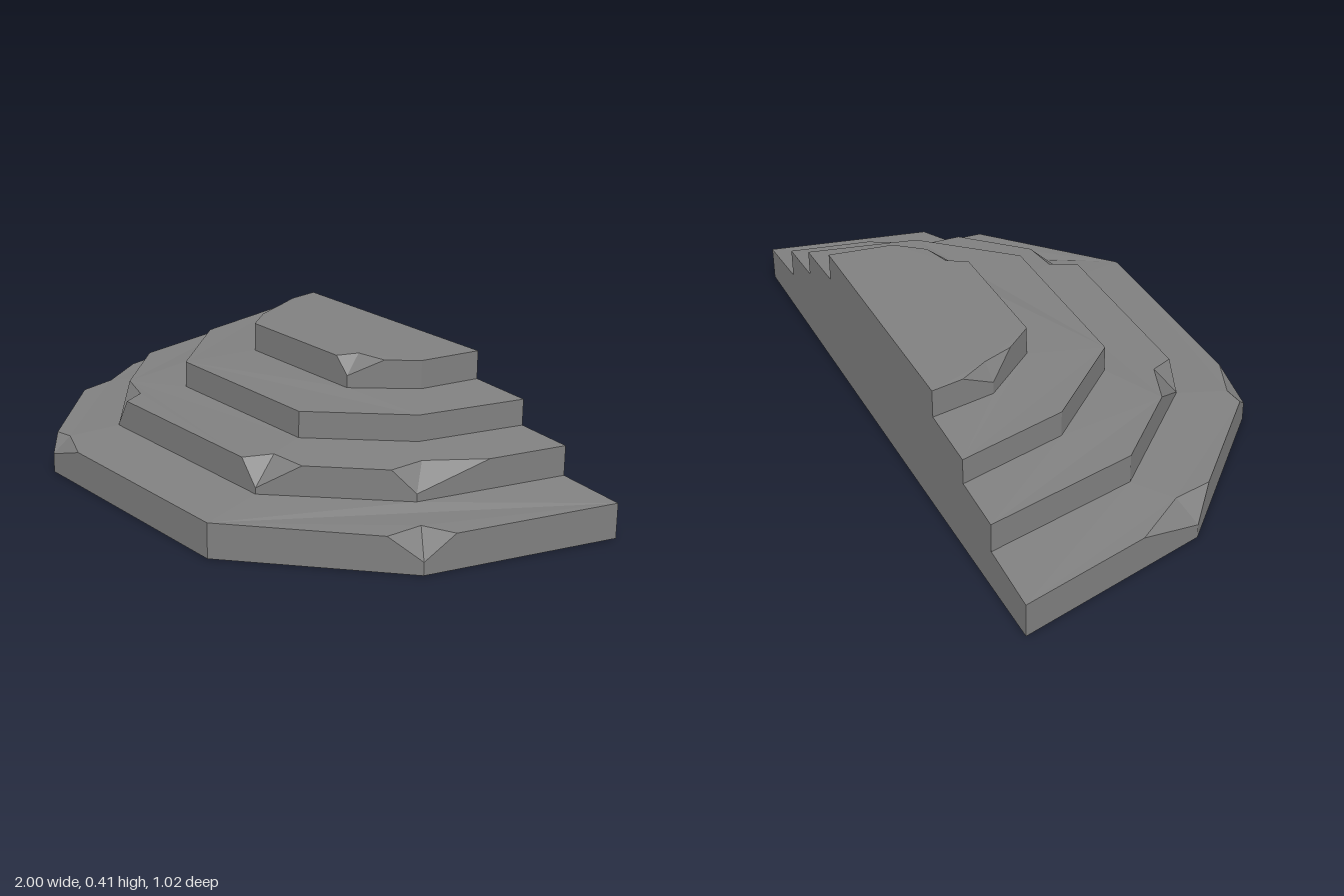
import * as THREE from 'three';

const BACK = -0.51;

// Each step: outline corners [x, z] from the right end round the front to the left end,
// base and rim heights, and chipped corners (a, b = cut length along the edges before and after).
const STEPS = [
  {
    name: 'bottomStep', base: 0, rim: 0.109,
    outline: [[-1, BACK], [-0.845, 0.1], [-0.415, 0.508], [0.415, 0.508], [0.862, 0.1], [1, BACK]],
    chips: {
      1: { a: 0.33, b: 0.2, low: 0.045, inner: [-0.785, 0.06] },
      2: { a: 0.11, b: 0.18, low: 0.06, inner: [-0.4, 0.455] },
      4: { a: 0.17, b: 0.16, low: 0.04, inner: [0.79, 0.05] },
    },
  },
  {
    name: 'secondStep', base: 0.126, rim: 0.219,
    outline: [[-0.785, BACK], [-0.68, -0.03], [-0.36, 0.3], [0.36, 0.3], [0.68, -0.03], [0.785, BACK]],
    chips: {
      2: { a: 0.35, b: 0.07, low: 0.13, inner: [-0.34, 0.23] },
      3: { a: 0.09, b: 0.29, low: 0.145, inner: [0.335, 0.215] },
      4: { a: 0.16, b: 0.48, low: 0.15, inner: [0.63, -0.09] },
    },
  },
  {
    name: 'thirdStep', base: 0.23, rim: 0.312,
    outline: [[-0.605, BACK], [-0.525, -0.17], [-0.29, 0.09], [0.29, 0.09], [0.525, -0.17], [0.605, BACK]],
    chips: {},
  },
  {
    name: 'topStep', base: 0.322, rim: 0.411,
    outline: [[-0.403, BACK], [-0.373, -0.31], [-0.232, -0.138], [0.232, -0.138], [0.373, -0.31], [0.403, BACK]],
    chips: {
      1: { a: 0.5, b: 0.5, low: 0.36, inner: [-0.34, -0.32] },
      3: { a: 0.11, b: 0.5, low: 0.36, inner: [0.21, -0.2] },
    },
  },
];

const at = ([x, z], y) => new THREE.Vector3(x, y, z);

// Fan of triangles over a convex face
function fan(out, pts) {
  for (let i = 1; i < pts.length - 1; i++) out.push(pts[0], pts[i], pts[i + 1]);
}

// Triangulate any face, turned to look along the given direction
function fill(out, pts, facing) {
  const flat = pts.map((p) => (facing.y !== 0 ? new THREE.Vector2(p.x, -p.z) : new THREE.Vector2(p.x, p.y)));
  for (const [i, j, k] of THREE.ShapeUtils.triangulateShape(flat, [])) {
    const [a, b, c] = [pts[i], pts[j], pts[k]];
    const n = b.clone().sub(a).cross(c.clone().sub(a));
    if (n.dot(facing) >= 0) out.push(a, b, c);
    else out.push(a, c, b);
  }
}

function makeMesh(name, points, material) {
  const geometry = new THREE.BufferGeometry().setFromPoints(points);
  geometry.computeVertexNormals();
  const mesh = new THREE.Mesh(geometry, material);
  mesh.name = name;
  return mesh;
}

function buildStep(step, next) {
  const out = [];
  const { outline, base, rim, chips } = step;

  // Points at the top of every corner
  const corners = outline.map((c, i) => {
    const top = at(c, rim);
    const chip = chips[i];
    if (!chip) return { left: [top], right: [top], top: [top] };
    const p = top.clone().lerp(at(outline[i - 1], rim), chip.a);
    const q = top.clone().lerp(at(outline[i + 1], rim), chip.b);
    const low = at(c, chip.low);
    const inner = at(chip.inner, rim + 0.003);
    // Broken corner face
    out.push(low, q, inner, low, inner, p);
    return { left: [low, p], right: [q, low], top: [p, inner, q] };
  });

  // Risers
  for (let i = 0; i < outline.length - 1; i++) {
    fan(out, [at(outline[i], base), at(outline[i + 1], base), ...corners[i + 1].left, ...corners[i].right]);
  }

  // Tread, sloping up to the foot of the next step
  const tread = corners.flatMap((c) => c.top);
  if (next) tread.push(...next.outline.map((c) => at(c, next.base)).reverse());
  fill(out, tread, new THREE.Vector3(0, 1, 0));
  return out;
}

export function createModel() {
  const group = new THREE.Group();
  group.name = 'steppedPlatform';
  const stone = new THREE.MeshStandardMaterial({ color: 0x808080, flatShading: true });
  stone.name = 'grey stone';

  STEPS.forEach((step, i) => group.add(makeMesh(step.name, buildStep(step, STEPS[i + 1]), stone)));

  // Flat back wall following the stepped profile
  const rightHalf = STEPS.flatMap((s) => [at(s.outline[5], s.base), at(s.outline[5], s.rim)]);
  const leftHalf = STEPS.flatMap((s) => [at(s.outline[0], s.base), at(s.outline[0], s.rim)]).reverse();
  const back = [];
  fill(back, [...rightHalf, ...leftHalf], new THREE.Vector3(0, 0, -1));
  group.add(makeMesh('backWall', back, stone));

  // Underside
  const under = [];
  fill(under, STEPS[0].outline.map((c) => at(c, 0)), new THREE.Vector3(0, -1, 0));
  group.add(makeMesh('underside', under, stone));

  return group;
}
